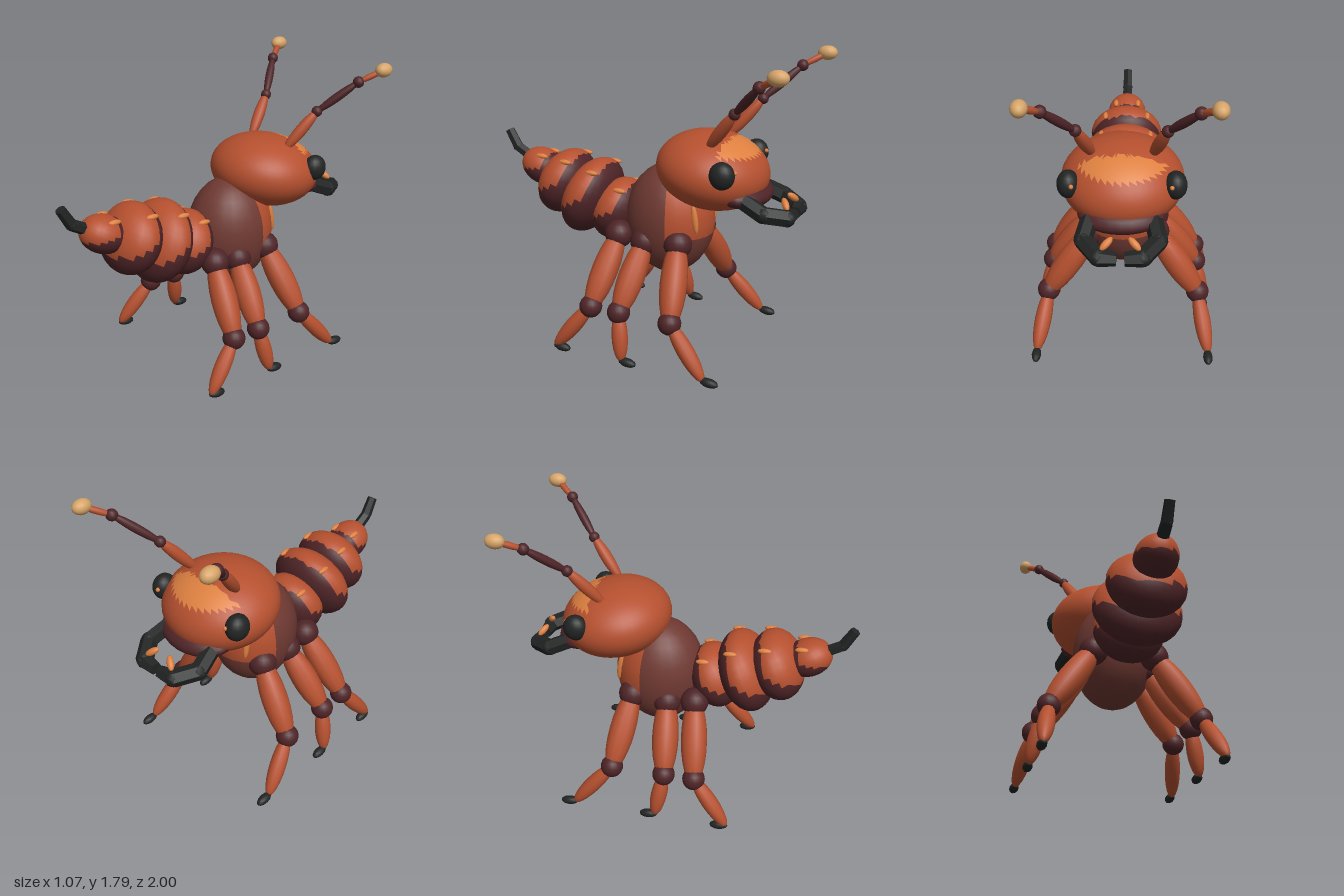
import * as THREE from 'three';

const mat = (name, color) => {
  const m = new THREE.MeshStandardMaterial({ color });
  m.name = name;
  return m;
};

export function createModel() {
  const rust = mat('rust', 0xb5502f);
  const maroon = mat('maroon', 0x4e2427);
  const brown = mat('brown', 0x6f3932);
  const amber = mat('amber', 0xdd8040);
  const black = mat('black', 0x222424);
  const cream = mat('cream', 0xd6a468);

  const model = new THREE.Group();
  model.name = 'ant';
  const V = (p) => new THREE.Vector3(...p);
  const mirror = (p, s) => [p[0] * s, p[1], p[2]];

  const add = (name, geo, material, parent = model) => {
    const mesh = new THREE.Mesh(geo, material);
    mesh.name = name;
    parent.add(mesh);
    return mesh;
  };

  // Ellipsoid with centre p and radii r, tilted about x
  const ball = (name, p, r, material, parent = model, tilt = 0, w = 18, h = 12, geo = null) => {
    const mesh = add(name, geo || new THREE.SphereGeometry(1, w, h), material, parent);
    mesh.position.set(...p);
    mesh.scale.set(...r);
    mesh.rotation.x = tilt;
    return mesh;
  };

  // Unit sphere whose faces go to material 1 where rule(centre) holds
  const paintedSphere = (w, h, rule) => {
    const geo = new THREE.SphereGeometry(1, w, h);
    const idx = geo.index.array, pos = geo.attributes.position;
    const lists = [[], []], c = new THREE.Vector3(), v = new THREE.Vector3();
    for (let i = 0; i < idx.length; i += 3) {
      c.set(0, 0, 0);
      for (let k = 0; k < 3; k++) c.add(v.fromBufferAttribute(pos, idx[i + k]));
      c.divideScalar(3);
      lists[rule(c) ? 1 : 0].push(idx[i], idx[i + 1], idx[i + 2]);
    }
    geo.setIndex([...lists[0], ...lists[1]]);
    geo.addGroup(0, lists[0].length, 0);
    geo.addGroup(lists[0].length, lists[1].length, 1);
    return geo;
  };

  const alignBetween = (mesh, a, b) => {
    mesh.position.copy(a).add(b).multiplyScalar(0.5);
    mesh.quaternion.setFromUnitVectors(new THREE.Vector3(0, 1, 0), b.clone().sub(a).normalize());
  };

  // Spindle-shaped limb between two points
  const spindle = (name, a, b, r, material, parent, stretch = 1.1) => {
    const A = V(a), B = V(b);
    const mesh = add(name, new THREE.SphereGeometry(1, 12, 12), material, parent);
    alignBetween(mesh, A, B);
    mesh.scale.set(r, A.distanceTo(B) * 0.5 * stretch, r);
  };

  // Chain of faceted hexagonal rods with mitre balls at the bends
  const rods = (name, points, radii, parent) => {
    for (let i = 0; i < points.length - 1; i++) {
      const A = V(points[i]), B = V(points[i + 1]);
      const geo = new THREE.CylinderGeometry(radii[i + 1], radii[i], A.distanceTo(B), 6).toNonIndexed();
      geo.computeVertexNormals();
      alignBetween(add(name, geo, black, parent), A, B);
      if (i) ball(name + 'Bend', points[i], Array(3).fill(radii[i] * 0.97), black, parent, 0, 8, 6);
    }
  };

  // Head, with a bright forehead patch and a dark mouth
  ball('head', [0, 1.115, -0.435], [0.34, 0.222, 0.33], [rust, amber], model, -0.15, 1, 1,
    paintedSphere(40, 28, (c) => c.y > 0.66 && c.z < -0.25));
  ball('mouth', [0, 1.01, -0.625], [0.24, 0.08, 0.165], maroon, model, -0.1, 24, 12);

  // Thorax, with a rust chest panel
  ball('thorax', [0, 0.78, -0.17], [0.25, 0.34, 0.272], [brown, rust], model, 0, 1, 1,
    paintedSphere(24, 16, (c) => c.z < -0.2 && c.y > -0.15));

  // Abdomen: four tilted segments, each with a dark belly and leading edge
  const abdomen = new THREE.Group();
  abdomen.name = 'abdomen';
  model.add(abdomen);
  const segments = [
    [[0, 0.785, 0.18], [0.21, 0.2, 0.15]],
    [[0, 0.845, 0.365], [0.265, 0.25, 0.155]],
    [[0, 0.912, 0.55], [0.232, 0.212, 0.155]],
    [[0, 0.985, 0.725], [0.125, 0.112, 0.145]],
  ];
  const back = paintedSphere(24, 16, (c) => c.z > -0.2 && c.y > 0.12 - 0.8 * c.z);
  for (const [p, r] of segments) {
    const seg = new THREE.Group();
    seg.name = 'abdomenSegment';
    seg.position.set(...p);
    seg.rotation.x = -0.4;
    abdomen.add(seg);
    ball('segmentShell', [0, 0, 0], r, [maroon, rust], seg, 0, 1, 1, back);
    for (const s of [1, -1])
      ball('backMark', [s * r[0] * 0.58, r[1] * 0.81, 0], [0.017, 0.016, 0.042], amber, seg, 0.35, 10, 8);
  }
  rods('stinger', [[0, 1.03, 0.81], [0, 1.09, 0.915], [0, 1.195, 0.975]], [0.036, 0.034, 0.03], abdomen);

  // Hip, knee, ankle for front, middle and rear legs
  const legs = {
    frontLeg: [[0.185, 0.69, -0.3], [0.445, 0.312, -0.37], [0.505, 0.04, -0.6]],
    middleLeg: [[0.185, 0.67, -0.085], [0.445, 0.312, -0.045], [0.505, 0.04, -0.09]],
    rearLeg: [[0.185, 0.69, 0.085], [0.445, 0.312, 0.14], [0.505, 0.04, 0.35]],
  };

  for (const s of [1, -1]) {
    const side = s > 0 ? 'left' : 'right';
    for (const [name, joints] of Object.entries(legs)) {
      const leg = new THREE.Group();
      leg.name = side + name[0].toUpperCase() + name.slice(1);
      model.add(leg);
      const [hip, knee, ankle] = joints.map((p) => mirror(p, s));
      ball('hip', hip, [0.085, 0.085, 0.085], maroon, leg);
      spindle('upperLeg', hip, knee, 0.08, rust, leg, 1.15);
      ball('knee', knee, [0.068, 0.068, 0.068], maroon, leg);
      spindle('lowerLeg', knee, ankle, 0.049, rust, leg, 1.06);
      ball('foot', [ankle[0], 0.034, ankle[2] - 0.04], [0.028, 0.026, 0.056], black, leg, -0.1, 12, 8);
    }

    // Eye with a small glint
    ball(side + 'Eye', [s * 0.285, 1.167, -0.597], [0.062, 0.078, 0.073], black);
    ball(side + 'EyeGlint', [s * 0.264, 1.185, -0.664], [0.013, 0.013, 0.013], amber, model, 0, 8, 6);

    // Chest stripe
    ball(side + 'ChestStripe', [s * 0.142, 0.84, -0.385], [0.016, 0.09, 0.02], amber, model, 0.15, 10, 8);

    // Mandible with an inner tooth
    const jaw = new THREE.Group();
    jaw.name = side + 'Mandible';
    model.add(jaw);
    rods('jaw', [[0.17, 1.0, -0.69], [0.198, 0.95, -0.81], [0.115, 0.922, -0.92], [0.02, 0.915, -0.925]]
      .map((p) => mirror(p, s)), [0.05, 0.05, 0.05, 0.038], jaw);
    spindle('tooth', mirror([0.1, 0.965, -0.915], s), mirror([0.045, 1.01, -0.875], s), 0.02, amber, jaw);

    // Antenna
    const antenna = new THREE.Group();
    antenna.name = side + 'Antenna';
    model.add(antenna);
    const [base, elbow, wrist, tip] = [[0.16, 1.28, -0.465], [0.235, 1.5, -0.64],
      [0.385, 1.683, -0.82], [0.465, 1.752, -0.94]].map((p) => mirror(p, s));
    spindle('antennaBase', base, elbow, 0.036, rust, antenna);
    ball('antennaElbow', elbow, [0.033, 0.033, 0.033], maroon, antenna, 0, 12, 8);
    spindle('antennaMiddle', elbow, wrist, 0.026, maroon, antenna);
    ball('antennaWrist', wrist, [0.034, 0.034, 0.034], maroon, antenna, 0, 12, 8);
    spindle('antennaEnd', wrist, tip, 0.019, rust, antenna);
    ball('antennaTip', tip, [0.043, 0.042, 0.057], cream, antenna, 0, 14, 10);
  }
  return model;
}
